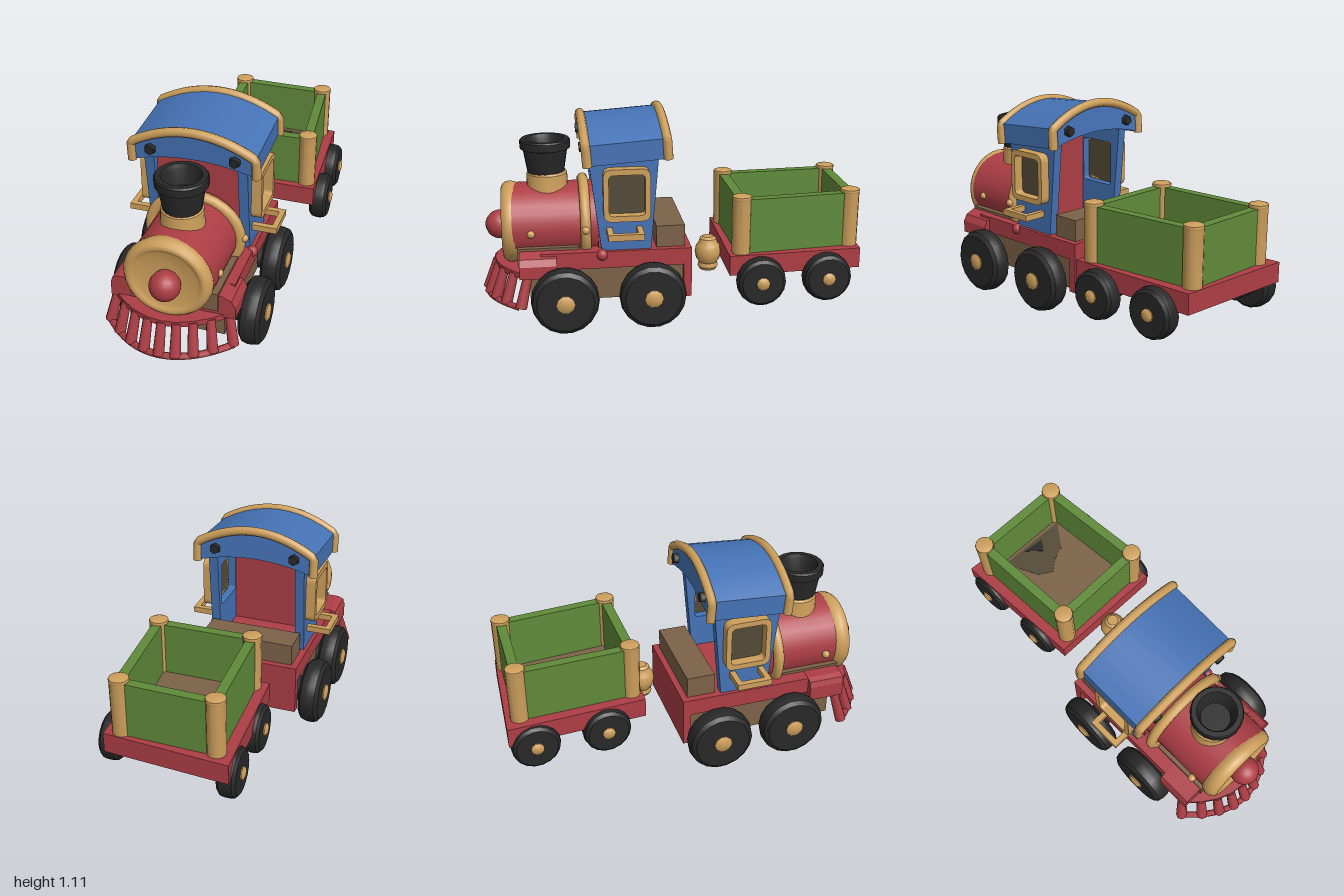
import * as THREE from 'three';
import { toCreasedNormals } from 'three/addons/utils/BufferGeometryUtils.js';

const mat = (name, color) => {
  const m = new THREE.MeshStandardMaterial({ color });
  m.name = name;
  return m;
};

export function createModel() {
  const red = mat('red paint', 0xad3e45), blue = mat('blue paint', 0x4573b6);
  const green = mat('green paint', 0x608b3a), gold = mat('pale wood', 0xcea05c);
  const black = mat('black', 0x282828), brown = mat('brown wood', 0x7d6248);
  const darkBrown = mat('dark brown', 0x544b36);

  const V3 = (x, y, z) => new THREE.Vector3(x, y, z);
  const add = (parent, name, geo, m, x = 0, y = 0, z = 0) => {
    const mesh = new THREE.Mesh(geo, m);
    mesh.name = name;
    mesh.position.set(x, y, z);
    parent.add(mesh);
    return mesh;
  };
  // box given by its limits
  const box = (parent, name, m, x0, x1, y0, y1, z0, z1) =>
    add(parent, name, new THREE.BoxGeometry(x1 - x0, y1 - y0, z1 - z0), m, (x0 + x1) / 2, (y0 + y1) / 2, (z0 + z1) / 2);
  const lathe = (pts, seg = 20) =>
    toCreasedNormals(new THREE.LatheGeometry(pts.map(p => new THREE.Vector2(...p)), seg), 0.6);
  const ball = r => new THREE.SphereGeometry(r, 16, 12);
  const shapeOf = pts => new THREE.Shape(pts.map(p => new THREE.Vector2(...p)));
  const extrude = (shape, depth) => new THREE.ExtrudeGeometry(shape, { depth, bevelEnabled: false, curveSegments: 10 });
  // bar between two points
  const rod = (parent, name, m, a, b, r0, r1 = r0) => {
    const d = b.clone().sub(a);
    const mesh = add(parent, name, new THREE.CylinderGeometry(r1, r0, d.length(), 8), m);
    mesh.position.copy(a).add(b).multiplyScalar(0.5);
    mesh.quaternion.setFromUnitVectors(V3(0, 1, 0), d.normalize());
  };
  // wheel with chamfered tyre, low hub cap and stub axle
  const wheel = (parent, x, y, z, r, t, side, yaw = 0) => {
    const g = new THREE.Group(), h = t / 2;
    g.name = 'wheel';
    g.position.set(x, y, z);
    g.rotation.y = yaw;
    parent.add(g);
    const turn = geo => geo.rotateZ(-side * Math.PI / 2);
    add(g, 'tyre', turn(lathe([[0, -h], [r * 0.84, -h], [r * 0.96, -h * 0.7], [r, -h * 0.2], [r, h * 0.2],
      [r * 0.96, h * 0.7], [r * 0.84, h], [0, h]], 18)), black);
    add(g, 'hubCap', turn(lathe([[r * 0.27, 0], [r * 0.27, h + 0.006], [r * 0.18, h + 0.015], [0, h + 0.018]], 10)), gold);
    add(g, 'axle', turn(new THREE.CylinderGeometry(r * 0.4, r * 0.4, 0.14, 10)), black, -side * 0.09);
  };

  const model = new THREE.Group();
  model.name = 'toyTrain';

  // ---------- engine ----------
  const engine = new THREE.Group();
  engine.name = 'engine';
  engine.position.set(0.02, 0, 0.4);
  engine.rotation.y = 0.19;
  model.add(engine);

  // chassis
  box(engine, 'chassis', brown, -0.25, 0.25, 0.14, 0.34, -0.46, 0.36);
  box(engine, 'deck', red, -0.285, 0.285, 0.32, 0.41, -0.465, 0.3);
  box(engine, 'backPlate', red, -0.285, 0.285, 0.14, 0.41, -0.482, -0.44);
  box(engine, 'bench', brown, -0.25, 0.25, 0.41, 0.525, -0.45, -0.3);
  const bumper = shapeOf([[-0.32, 0.29], [0.32, 0.29], [0.32, 0.355], [0.3, 0.39], [0.25, 0.412], [-0.28, 0.412], [-0.31, 0.4], [-0.32, 0.37]]);
  add(engine, 'bumper', extrude(bumper, 0.19), red, 0, 0, 0.22);
  box(engine, 'boilerSaddle', brown, -0.215, 0.235, 0.325, 0.425, 0.1, 0.418);
  add(engine, 'deckKnob', ball(0.03), red, 0.275, 0.39, -0.015);
  for (const [x, z, s] of [[0.36, 0.183, 1], [0.342, -0.27, 1], [-0.336, 0.107, -1], [-0.345, -0.3, -1]])
    wheel(engine, x, 0.182, z, 0.175, 0.11, s);

  // cowcatcher
  const arc = (t, w, z0, z1, y) => V3(w * t - 0.012, y, z1 - (z1 - z0) * t * t);
  const topAt = t => arc(t, 0.29, 0.37, 0.53, 0.29), lowAt = t => arc(t, 0.322, 0.41, 0.585, 0.13);
  const steps = Array.from({ length: 9 }, (_, i) => -1 + i / 4);
  const plate = shapeOf(steps.map(t => [topAt(t).x * 1.04, -topAt(t).z - 0.012]));
  add(engine, 'catcherTop', extrude(plate, 0.03).rotateX(-Math.PI / 2), red, 0, 0.275, 0);
  const rail = new THREE.CatmullRomCurve3(steps.map(lowAt));
  add(engine, 'catcherRail', new THREE.TubeGeometry(rail, 24, 0.018, 6), red);
  for (const t of steps) rod(engine, 'catcherBar', red, lowAt(t), topAt(t), 0.03, 0.024);

  // boiler
  const boiler = new THREE.Group();
  boiler.name = 'boiler';
  boiler.position.y = 0.51;
  engine.add(boiler);
  const barrel = add(boiler, 'barrel', new THREE.CylinderGeometry(0.203, 0.203, 0.44, 28).rotateX(Math.PI / 2), red, 0.008, 0, 0.22);
  barrel.scale.x = 1.06;
  const rearRing = add(boiler, 'rearRing', new THREE.TorusGeometry(0.21, 0.028, 10, 28), gold, 0, 0, 0.064);
  rearRing.scale.x = 1.12;
  // dished front with a broad rounded rim
  const front = add(boiler, 'frontDish', new THREE.LatheGeometry([[0.19, -0.055], [0.208, -0.04], [0.216, -0.01], [0.212, 0.015],
    [0.198, 0.034], [0.182, 0.04], [0.168, 0.034], [0.15, 0.022], [0.08, 0.014], [0, 0.014]].map(p => new THREE.Vector2(...p)), 28)
    .rotateX(Math.PI / 2), gold, 0, -0.006, 0.455);
  front.scale.x = 1.04;
  add(boiler, 'nose', ball(0.077), red, 0.005, -0.018, 0.507);
  for (const s of [-1, 1]) add(boiler, 'stud', ball(0.021), gold, s * 0.219, -0.012, 0.345);
  add(boiler, 'ringStud', ball(0.021), gold, 0.258, 0.01, 0.065);

  // chimney
  add(engine, 'chimneyBase', lathe([[0.12, 0.62], [0.108, 0.7], [0.106, 0.77], [0.098, 0.78], [0, 0.78]]), gold, 0.006, 0, 0.25);
  add(engine, 'chimney', lathe([[0.095, 0.77], [0.1, 0.8], [0.116, 0.9], [0.131, 0.905], [0.132, 0.945], [0.126, 0.953],
    [0.1, 0.953], [0.09, 0.93], [0.075, 0.85], [0, 0.85]]), black, 0.008, 0, 0.255);

  // cab
  const cab = new THREE.Group();
  cab.name = 'cab';
  engine.add(cab);
  const sidePanel = (name, shape, depth, m, x) =>
    add(cab, name, extrude(shape, depth).rotateY(-Math.PI / 2).translate(depth / 2, 0, 0), m, x);
  const roundRect = (cx, cy, w, h, r, Type = THREE.Shape) => {
    const p = new Type(), x = cx - w / 2, y = cy - h / 2;
    p.moveTo(x + r, y).lineTo(x + w - r, y).quadraticCurveTo(x + w, y, x + w, y + r);
    p.lineTo(x + w, y + h - r).quadraticCurveTo(x + w, y + h, x + w - r, y + h);
    p.lineTo(x + r, y + h).quadraticCurveTo(x, y + h, x, y + h - r);
    p.lineTo(x, y + r).quadraticCurveTo(x, y, x + r, y);
    return p;
  };
  for (const s of [-1, 1]) {
    const wall = shapeOf([[-0.27, 0.4], [-0.015, 0.4], [0.045, 0.9], [-0.315, 0.92]]);
    wall.holes.push(roundRect(-0.145, 0.715, 0.215, 0.245, 0.02, THREE.Path));
    sidePanel('sideWall', wall, 0.05, blue, s * 0.24);
    const frame = roundRect(-0.145, 0.715, 0.24, 0.275, 0.045);
    frame.holes.push(roundRect(-0.145, 0.715, 0.185, 0.215, 0.025, THREE.Path));
    sidePanel('windowFrame', frame, 0.06, gold, s * 0.288);
    sidePanel('windowPane', roundRect(-0.145, 0.715, 0.22, 0.25, 0.02), 0.008, darkBrown, s * 0.262);
    // grab handle
    box(cab, 'handle', gold, s * 0.38 - 0.015, s * 0.38 + 0.015, 0.502, 0.534, -0.225, -0.04);
    for (const z of [-0.21, -0.055])
      box(cab, 'handleArm', gold, s * 0.315 - 0.06, s * 0.315 + 0.06, 0.502, 0.534, z - 0.015, z + 0.015);
  }
  box(cab, 'frontWall', red, -0.22, 0.22, 0.4, 0.92, -0.03, 0);

  // arched roof, tipped forward
  const roof = new THREE.Group();
  roof.name = 'roof';
  roof.position.set(-0.006, 0.885, -0.152);
  roof.rotation.x = 0.07;
  cab.add(roof);
  const section = new THREE.Shape();
  section.moveTo(-0.318, 0).lineTo(-0.318, 0.105).quadraticCurveTo(0, 0.3, 0.318, 0.105);
  section.lineTo(0.318, 0).quadraticCurveTo(0, 0.1, -0.318, 0);
  add(roof, 'roofShell', toCreasedNormals(extrude(section, 0.42), 0.5), blue, 0, 0, -0.21);
  const edge = new THREE.CurvePath();
  edge.add(new THREE.LineCurve3(V3(-0.318, 0.005, 0), V3(-0.318, 0.1, 0)));
  edge.add(new THREE.QuadraticBezierCurve3(V3(-0.318, 0.1, 0), V3(0, 0.298, 0), V3(0.318, 0.1, 0)));
  edge.add(new THREE.LineCurve3(V3(0.318, 0.1, 0), V3(0.318, 0.005, 0)));
  for (const s of [-1, 1]) {
    add(roof, 'roofTrim', new THREE.TubeGeometry(edge, 40, 0.024, 8), gold, 0, 0, s * 0.205);
    for (const e of [-1, 1]) {
      add(roof, 'roofStud', new THREE.CylinderGeometry(0.026, 0.03, 0.03, 6).rotateX(s * Math.PI / 2), black, e * 0.215, 0.08, s * 0.22);
      add(roof, 'trimEnd', new THREE.CylinderGeometry(0.024, 0.024, 0.01, 8), gold, e * 0.318, 0.003, s * 0.205);
    }
  }

  // ---------- wagon ----------
  const wagon = new THREE.Group();
  wagon.name = 'wagon';
  model.add(wagon);
  const slab = (name, pts, y0, y1, m) =>
    add(wagon, name, extrude(shapeOf(pts.map(([x, z]) => [x, -z])), y1 - y0).rotateX(-Math.PI / 2), m, 0, y0);
  slab('wagonDeck', [[-0.48, -0.915], [0.165, -1], [0.33, -0.325], [-0.3, -0.21]], 0.305, 0.41, red);
  const corners = [[-0.38, -0.855], [0.095, -0.94], [0.26, -0.38], [-0.235, -0.28]];
  slab('wagonFloor', corners, 0.405, 0.418, brown);
  slab('floorStain', [[-0.35, -0.82], [0.08, -0.89], [0.02, -0.745], [-0.05, -0.7], [-0.1, -0.64], [-0.18, -0.67], [-0.25, -0.76]],
    0.416, 0.421, darkBrown);
  slab('floorSpot', [[-0.17, -0.835], [-0.05, -0.845], [-0.08, -0.78], [-0.12, -0.805]], 0.419, 0.424, black);
  corners.forEach(([x, z], i) => {
    add(wagon, 'post', lathe([[0.048, 0.4], [0.049, 0.695], [0.051, 0.7], [0.049, 0.711], [0.035, 0.716], [0, 0.716]], 12), gold, x, 0, z);
    const [x2, z2] = corners[(i + 1) % 4];
    const wall = add(wagon, 'wagonWall', new THREE.BoxGeometry(Math.hypot(x2 - x, z2 - z), 0.29, 0.05), green,
      (x + x2) / 2, 0.55, (z + z2) / 2);
    wall.rotation.y = Math.atan2(z - z2, x2 - x);
  });
  for (const [x, z, s] of [[0.226, -0.825, 1], [0.311, -0.485, 1], [-0.424, -0.785, -1], [-0.34, -0.42, -1]])
    wheel(wagon, x, 0.275, z, 0.128, 0.095, s, 0.22);

  // coupling knob
  add(wagon, 'coupling', lathe([[0, 0.225], [0.045, 0.228], [0.055, 0.245], [0.05, 0.268], [0.064, 0.29], [0.071, 0.325], [0.064, 0.36],
    [0.05, 0.378], [0.045, 0.4], [0.03, 0.412], [0, 0.412]], 14), gold, 0.022, 0, -0.207);
  rod(wagon, 'couplingPeg', gold, V3(0.02, 0.34, -0.2), V3(0, 0.34, -0.32), 0.03);

  return model;
}
